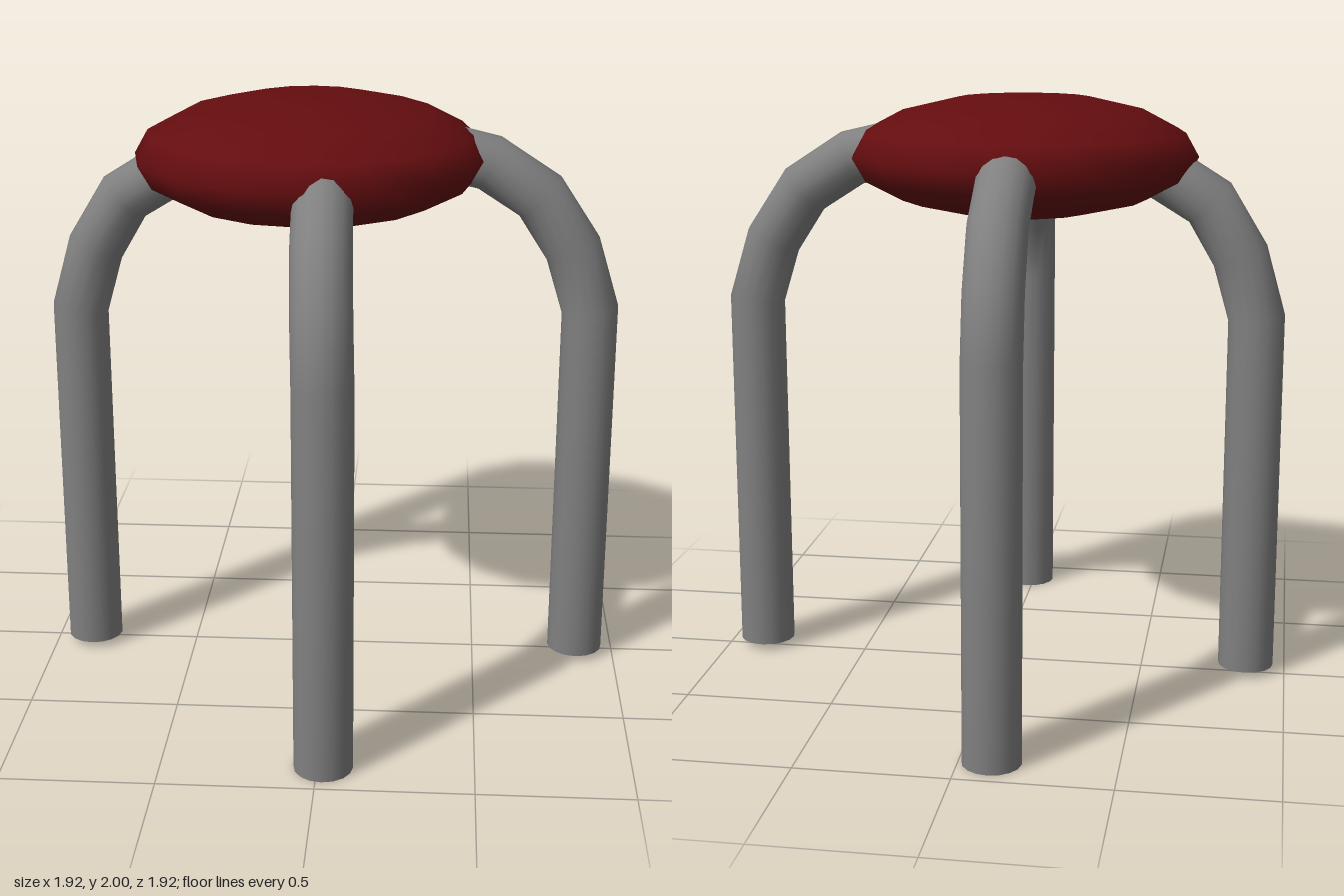
import * as THREE from 'three';

const SIDES = 16;
const LEG_RADIUS = 0.095;

// Bent pipe running up the local y axis and curling toward the seat; path = [outward, up, sideways]
function pipeGeometry(path) {
  const pts = path.map((p) => new THREE.Vector3(...p));
  const positions = [];
  const index = [];
  const last = pts.length - 1;
  pts.forEach((p, i) => {
    const before = i > 0 ? p.clone().sub(pts[i - 1]).normalize() : new THREE.Vector3();
    const after = i < last ? pts[i + 1].clone().sub(p).normalize() : new THREE.Vector3();
    const t = before.add(after).setZ(0).normalize();
    for (let j = 0; j < SIDES; j++) {
      const a = (j / SIDES) * Math.PI * 2;
      const c = Math.cos(a) * LEG_RADIUS;
      positions.push(p.x + c * t.y, p.y - c * t.x, p.z + Math.sin(a) * LEG_RADIUS);
      if (i < last) {
        const k = (j + 1) % SIDES;
        const a0 = i * SIDES + j, b0 = i * SIDES + k;
        index.push(a0, a0 + SIDES, b0, a0 + SIDES, b0 + SIDES, b0);
      }
    }
  });
  const g = new THREE.BufferGeometry();
  g.setAttribute('position', new THREE.Float32BufferAttribute(positions, 3));
  g.setIndex(index);
  g.computeVertexNormals();
  return g;
}

export function createModel() {
  const model = new THREE.Group();
  model.name = 'stool';

  const seatRed = new THREE.MeshStandardMaterial({ color: 0x640d0f });
  seatRed.name = 'seatRed';
  const legGrey = new THREE.MeshStandardMaterial({ color: 0x808080 });
  legGrey.name = 'legGrey';

  // Flattened cushion, slightly off centre
  const seat = new THREE.Mesh(new THREE.SphereGeometry(0.585, 16, 8), seatRed);
  seat.name = 'seat';
  seat.scale.y = 0.205 / 0.585;
  seat.position.set(-0.075, 1.795, 0.02);
  model.add(seat);

  // Bend profiles [outward, up]
  const highBend = [[0.865, 1.28], [0.8, 1.49], [0.685, 1.665], [0.515, 1.775], [0.3, 1.825]];
  const lowBend = [[0.865, 1.26], [0.805, 1.47], [0.7, 1.645], [0.53, 1.75], [0.34, 1.79]];

  // Each leg: turn around y, foot height, sideways offset at foot and top
  const legs = [
    ['leftLeg', 0, 0.025, 0.02, 0.01, highBend],
    ['rightLeg', Math.PI, 0.025, -0.02, -0.02, lowBend],
    ['frontLeg', -Math.PI / 2, 0, -0.02, 0.01, lowBend],
    ['backLeg', Math.PI / 2, 0, -0.105, -0.09, lowBend],
  ];

  for (const [name, turn, footY, sideFoot, sideTop, bend] of legs) {
    const leg = new THREE.Group();
    leg.name = name;
    leg.rotation.y = turn;

    const path = [[0.865, footY, sideFoot]];
    bend.forEach(([x, y], i) => {
      path.push([x, y, THREE.MathUtils.lerp(sideFoot, sideTop, i / (bend.length - 1))]);
    });
    const pipe = new THREE.Mesh(pipeGeometry(path), legGrey);
    pipe.name = name + 'Pipe';

    // Flat underside of the foot
    const foot = new THREE.Mesh(new THREE.CircleGeometry(LEG_RADIUS, SIDES), legGrey);
    foot.name = name + 'Foot';
    foot.rotation.x = Math.PI / 2;
    foot.position.set(0.865, footY, sideFoot);

    leg.add(pipe, foot);
    model.add(leg);
  }
  return model;
}
